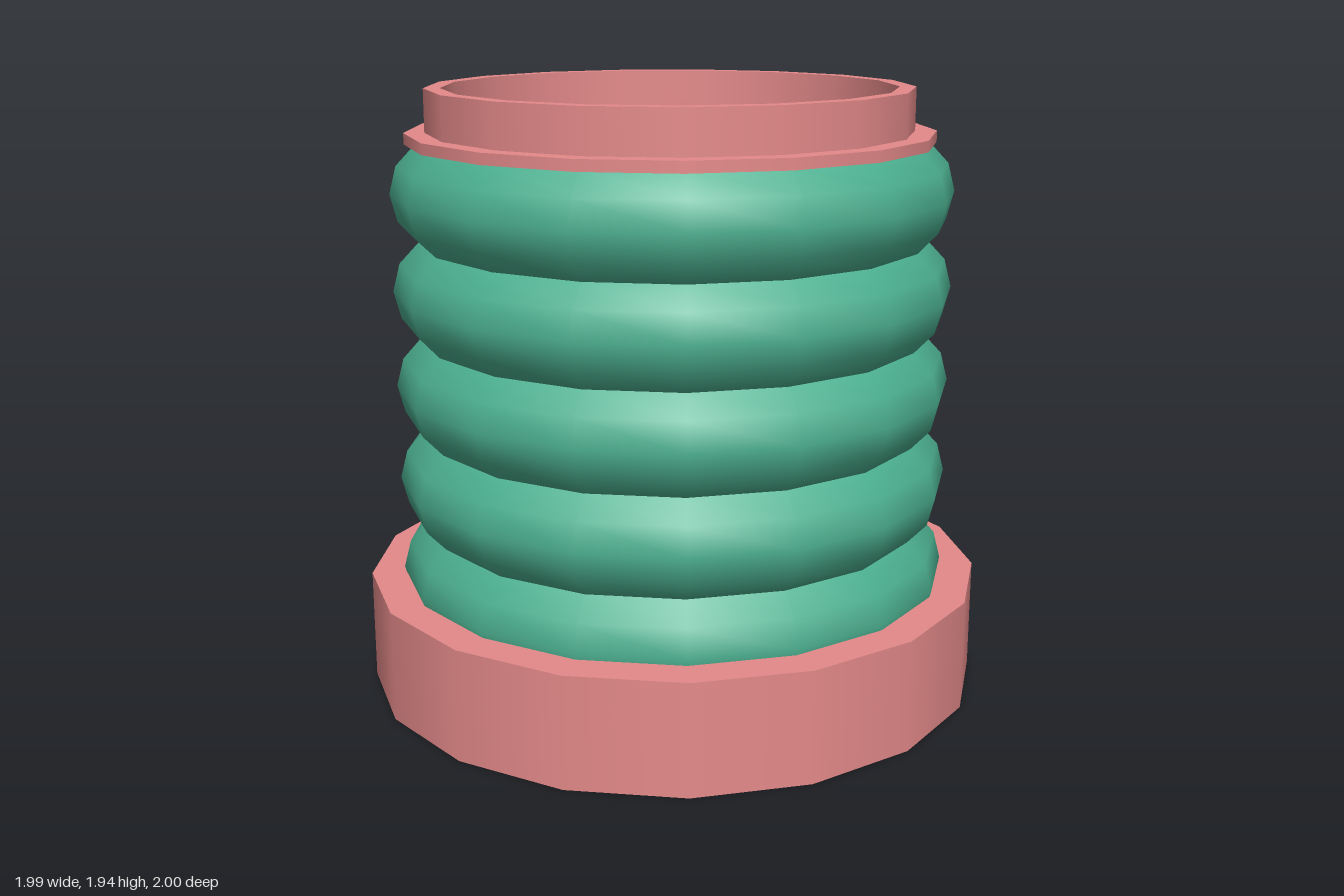
import * as THREE from 'three';
import { mergeGeometries } from 'three/addons/utils/BufferGeometryUtils.js';

const SIDES = 17;
const PINK = new THREE.MeshStandardMaterial({ color: 0xe58a8a });
const GREEN = new THREE.MeshStandardMaterial({ color: 0x4cb090 });

// Revolve one stretch of profile, with a corner of the polygon on +x
function revolve(points) {
  const profile = points.map(([r, y]) => new THREE.Vector2(r, y));
  return new THREE.LatheGeometry(profile, SIDES, Math.PI / 2);
}

// Closed ring with sharp profile edges; corners run counter-clockwise in (r, y)
function sharpRing(corners) {
  return mergeGeometries(corners.map((c, i) => revolve([c, corners[(i + 1) % corners.length]])));
}

function plainRing(outer, inner, y0, y1) {
  return sharpRing([[outer, y0], [outer, y1], [inner, y1], [inner, y0]]);
}

// Bulging arc from y0 to y1, in four segments
function bulge(rTrough, rPeak, y0, y1) {
  const half = (y1 - y0) / 2;
  const depth = rPeak - rTrough;
  const radius = (half * half + depth * depth) / (2 * depth);
  const sweep = Math.asin(half / radius);
  const points = [];
  for (let i = -2; i <= 2; i++) {
    const a = (sweep * i) / 2;
    points.push([rPeak - radius + radius * Math.cos(a), (y0 + y1) / 2 + radius * Math.sin(a)]);
  }
  return points;
}

function part(name, geometry, material, x, z) {
  const mesh = new THREE.Mesh(geometry, material);
  mesh.name = name;
  mesh.position.set(x, 0, z);
  return mesh;
}

export function createModel() {
  const group = new THREE.Group();
  group.name = 'bellows';

  // Wide base collar, stepped inside to seat the bellows
  const base = sharpRing([
    [1.004, 0], [1.004, 0.357], [0.885, 0.357], [0.885, 0.22], [0.79, 0.22], [0.79, 0],
  ]);
  group.add(part('baseCollar', base, PINK, -0.0085, 0));

  // Five folds, each with an outer and inner skin, creased at the troughs
  const folds = 5, bottom = 0.22, top = 1.765;
  const pitch = (top - bottom) / folds;
  const skins = [];
  for (let i = 0; i < folds; i++) {
    const y0 = bottom + i * pitch;
    const y1 = y0 + pitch;
    const inner = bulge(0.785, 0.868, y0 + 0.01, y1 - 0.01).reverse();
    skins.push(revolve(bulge(0.812, 0.897, y0, y1)), revolve(inner));
    // Narrow band between neighbouring inner folds
    if (i > 0) skins.push(revolve([[0.785, y0 + 0.01], [0.785, y0 - 0.01]]));
  }
  // Open ends of the wall
  skins.push(revolve([[0.812, top], [0.785, top - 0.01]]));
  skins.push(revolve([[0.785, bottom + 0.01], [0.812, bottom]]));
  group.add(part('foldedSleeve', mergeGeometries(skins), GREEN, -0.0115, -0.005));

  // Thin flange and narrow neck on top
  group.add(part('topFlange', plainRing(0.841, 0.745, 1.765, 1.8), PINK, -0.018, -0.005));
  group.add(part('topNeck', plainRing(0.774, 0.722, 1.8, 1.937), PINK, -0.02, -0.005));

  return group;
}
